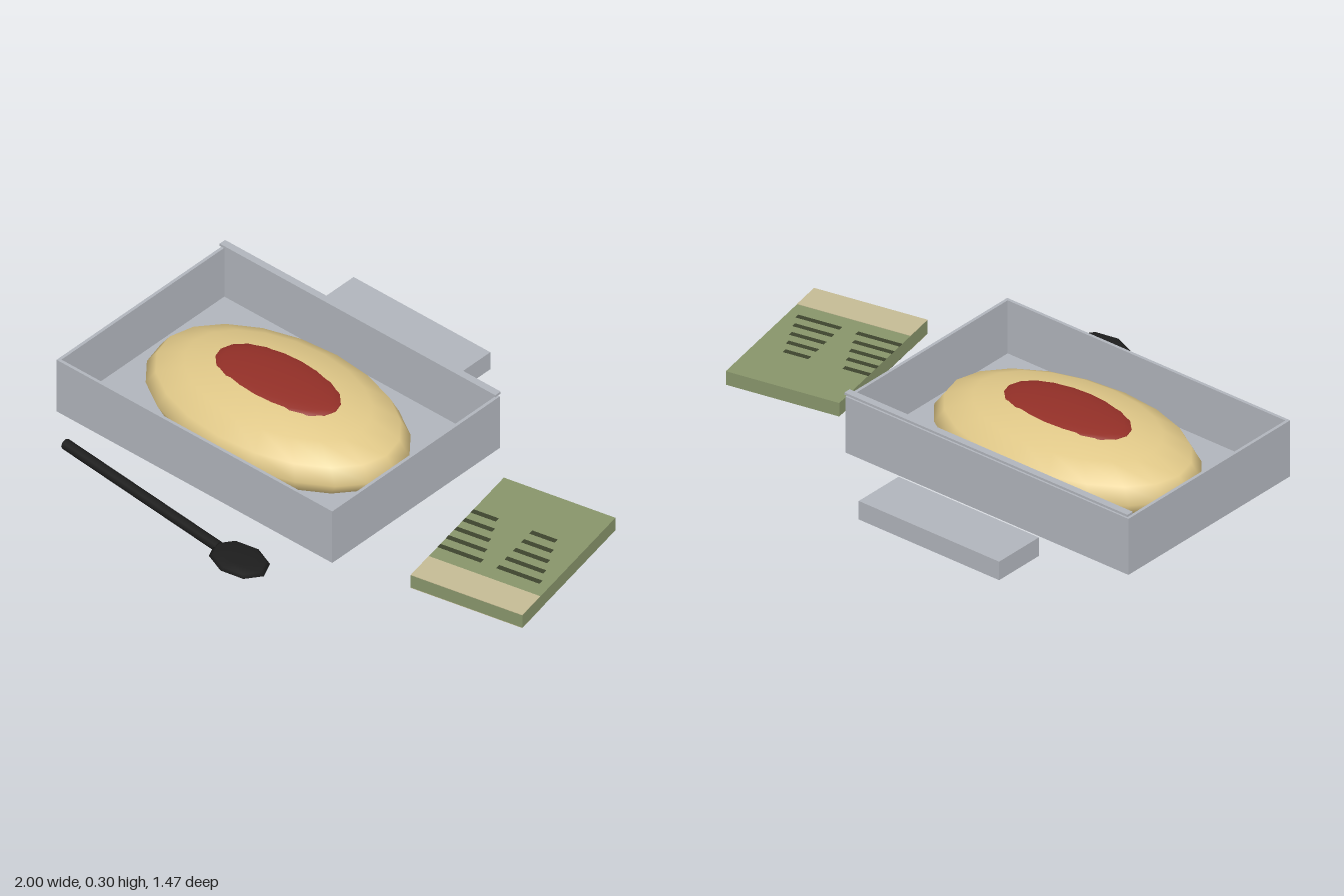
import * as THREE from 'three';

const mat = (name, color) => {
  const m = new THREE.MeshStandardMaterial({ color });
  m.name = name;
  return m;
};

export function createModel() {
  const root = new THREE.Group();
  root.name = 'loafInTray';

  const grey = mat('trayGrey', 0xb0b4bb);
  const crust = mat('loafCrust', 0xe0c888);
  const red = mat('redSauce', 0x922f27);
  const green = mat('packetGreen', 0x87946a);
  const cream = mat('packetCream', 0xc4ba94);
  const ink = mat('darkGreen', 0x3d432d);
  const black = mat('spoonBlack', 0x1d1d1d);

  const add = (parent, name, geometry, material, x, y, z) => {
    const mesh = new THREE.Mesh(geometry, material);
    mesh.name = name;
    mesh.position.set(x, y, z);
    parent.add(mesh);
    return mesh;
  };
  const box = (parent, name, material, size, pos) =>
    add(parent, name, new THREE.BoxGeometry(...size), material, ...pos);
  const ellipsoid = (parent, name, material, radii, segs, pos) =>
    add(parent, name, new THREE.SphereGeometry(1, ...segs).scale(...radii), material, ...pos);

  // Open tray with thin walls
  const tray = new THREE.Group();
  tray.name = 'tray';
  tray.position.x = -0.365;
  root.add(tray);
  box(tray, 'trayFloor', grey, [1.27, 0.012, 0.85], [0, 0.06, 0]);
  for (const s of [-1, 1]) {
    box(tray, s > 0 ? 'frontWall' : 'backWall', grey, [1.27, 0.224, 0.012], [0, 0.166, s * 0.425]);
    box(tray, s > 0 ? 'leftWall' : 'rightWall', grey, [0.012, 0.224, 0.84], [s * 0.629, 0.166, 0]);
  }
  // Lid hinge strip above the back wall, and the loose slab behind it
  box(tray, 'hingeStrip', grey, [1.27, 0.009, 0.028], [0, 0.292, -0.422]);
  box(root, 'rearSlab', grey, [0.63, 0.074, 0.212], [-0.365, 0.088, -0.634]);

  // Loaf with a cap of sauce
  ellipsoid(root, 'loaf', crust, [0.54, 0.145, 0.33], [20, 8], [-0.365, 0.145, 0]);
  ellipsoid(root, 'sauceCap', red, [0.27, 0.03, 0.142], [20, 12], [-0.365, 0.264, 0]);

  // Packet turned slightly, with a band and rows of marks on both faces
  const packet = new THREE.Group();
  packet.name = 'packet';
  packet.position.set(0.719, 0.083, 0.002);
  packet.rotation.y = 0.2;
  root.add(packet);
  box(packet, 'packetBody', green, [0.444, 0.054, 0.632], [0, 0, 0]);
  for (const s of [-1, 1]) {
    box(packet, 'packetBand', cream, [0.444, 0.002, 0.122], [0, s * 0.0275, 0.255]);
    for (let row = 0; row < 5; row++) {
      const z = -0.1 + row * 0.056;
      const long = 0.1 + 0.018 * row;
      box(packet, 'markEdge', ink, [long, 0.001, 0.02], [-0.222 + long / 2, s * 0.0272, z]);
      box(packet, 'markInner', ink, [long, 0.001, 0.02], [0.012 + long / 2, s * 0.0272, z]);
    }
  }

  // Spoon lying in front of the tray
  const spoon = new THREE.Group();
  spoon.name = 'spoon';
  spoon.position.set(0.035, 0.068, 0.646);
  spoon.rotation.y = -0.1;
  root.add(spoon);
  const handle = new THREE.CylinderGeometry(0.02, 0.02, 0.78, 8).rotateZ(Math.PI / 2);
  add(spoon, 'spoonHandle', handle, black, -0.495, -0.002, 0);
  ellipsoid(spoon, 'spoonHead', black, [0.124, 0.016, 0.088], [8, 6], [0, 0.002, 0]);

  return root;
}
